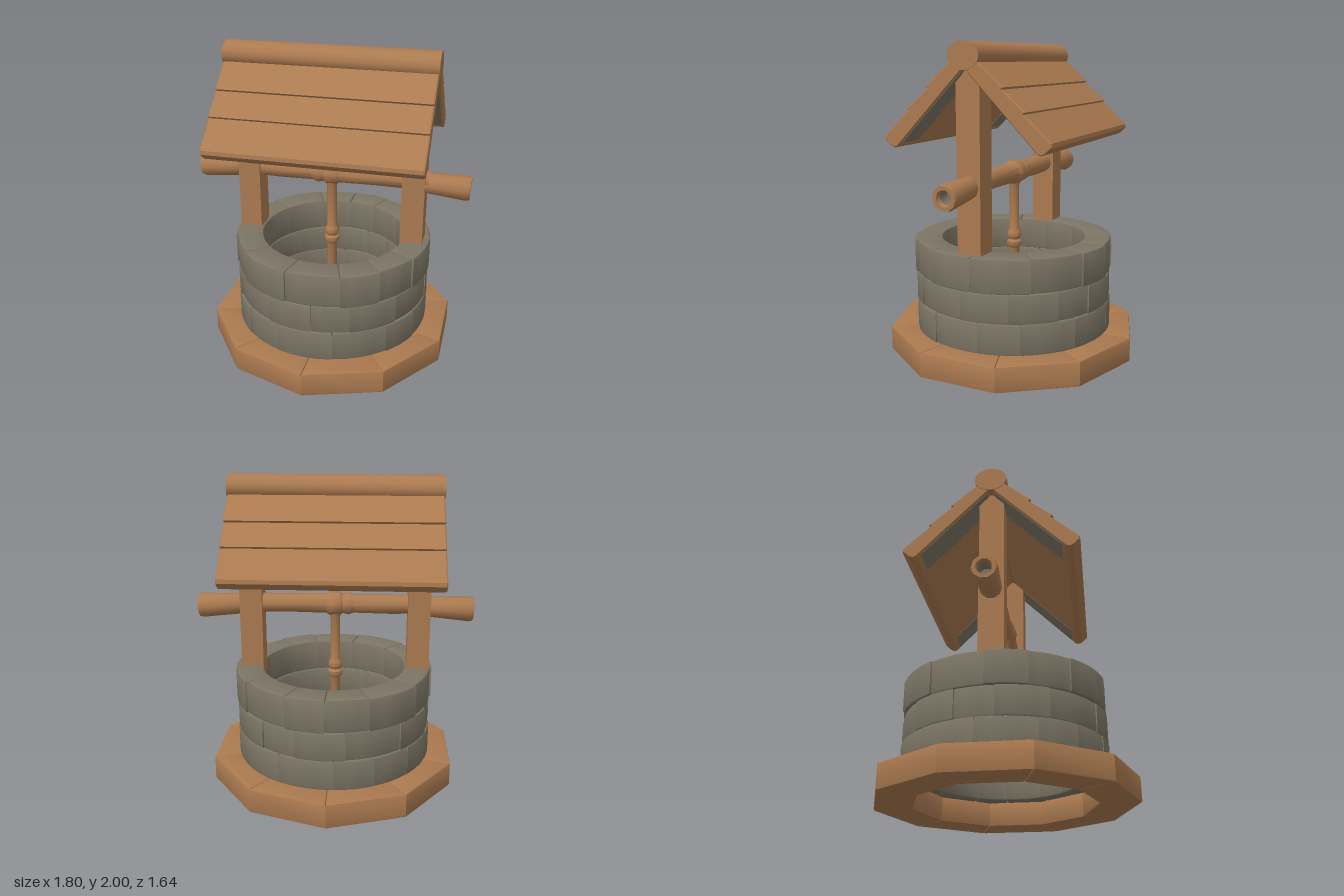
import * as THREE from 'three';
import { toCreasedNormals } from 'three/addons/utils/BufferGeometryUtils.js';

const wood = new THREE.MeshStandardMaterial({ color: 0xab7a50 });
wood.name = 'warm wood';
const stone = new THREE.MeshStandardMaterial({ color: 0x7c7565 });
stone.name = 'grey stone';

function add(parent, name, geometry, material) {
  const mesh = new THREE.Mesh(geometry, material);
  mesh.name = name;
  parent.add(mesh);
  return mesh;
}

// Bevelled block filling a sector of a ring, standing on height y
function ringBlock(rIn, rOut, a0, a1, y, height, segments, bevel) {
  const points = [];
  for (const [r, from, to] of [[rOut, a0, a1], [rIn, a1, a0]]) {
    for (let i = 0; i <= segments; i++) {
      const a = from + (to - from) * i / segments;
      points.push(new THREE.Vector2(r * Math.cos(a), r * Math.sin(a)));
    }
  }
  const geo = new THREE.ExtrudeGeometry(new THREE.Shape(points), {
    depth: height - 2 * bevel, bevelEnabled: true, bevelSegments: 2,
    bevelSize: bevel, bevelOffset: -bevel, bevelThickness: bevel,
  });
  geo.translate(0, 0, bevel).rotateX(-Math.PI / 2).translate(0, y, 0);
  return toCreasedNormals(geo, 0.7);
}

// Ten-sided wooden curb
function buildCurb() {
  const group = new THREE.Group();
  group.name = 'woodenCurb';
  const step = Math.PI / 5;
  for (let i = 0; i < 10; i++) {
    const a = Math.PI / 2 + i * step;
    add(group, 'curbBeam', ringBlock(0.57, 0.82, a, a + step, 0, 0.16, 1, 0.01), wood);
  }
  return group;
}

// Three staggered courses of stones
function buildWall() {
  const group = new THREE.Group();
  group.name = 'stoneWall';
  const courses = [[0.155, 0.2, 0.645, 0.1], [0.35, 0.19, 0.64, 0.34], [0.537, 0.217, 0.645, 0.11]];
  const count = 13;
  courses.forEach(([y, height, radius, offset], c) => {
    const edge = i => {
      const k = i % count;
      return offset + (i + 0.16 * Math.sin(k * 4.7 + c * 2.3)) * Math.PI * 2 / count;
    };
    for (let i = 0; i < count; i++) {
      const r = radius + 0.006 * Math.sin(i * 3.1 + c);
      add(group, 'wallStone', ringBlock(0.47, r, edge(i), edge(i + 1), y, height, 4, 0.014), stone);
    }
  });
  return group;
}

// Pitched roof with overlapping planks and a rounded ridge
function buildRoof() {
  const group = new THREE.Group();
  group.name = 'roof';
  const x0 = -0.685, x1 = 0.655;
  const profile = [
    [0, 1.85], [0.455, 1.385], [0.475, 1.377], [0.5, 1.385], [0.543, 1.425], [0.54, 1.45],
    [0.375, 1.6], [0.385, 1.612], [0.24, 1.733], [0.25, 1.745], [0.08, 1.89], [0, 1.95],
  ];
  for (const side of [1, -1]) {
    const shape = new THREE.Shape(profile.map(([z, y]) => new THREE.Vector2(-side * z, y)));
    const geo = new THREE.ExtrudeGeometry(shape, {
      depth: x1 - x0 - 0.016, bevelEnabled: true, bevelSegments: 1,
      bevelSize: 0.006, bevelOffset: -0.006, bevelThickness: 0.008,
    });
    geo.rotateY(Math.PI / 2).translate(x0 + 0.008, 0, 0);
    add(group, 'roofSlope', geo, wood);

    // Grey lining below the overhangs
    for (const [a, b] of [[x0 + 0.015, -0.49], [0.47, x1 - 0.015]]) {
      const lining = add(group, 'eaveLining', new THREE.BoxGeometry(b - a, 0.006, 0.58), stone);
      lining.position.set((a + b) / 2, 1.617, side * 0.228);
      lining.rotation.x = side * Math.atan2(0.465, 0.455);
    }
  }
  const ridge = new THREE.CylinderGeometry(1, 1, x1 - x0 + 0.01, 14);
  ridge.rotateZ(Math.PI / 2).scale(1, 0.082, 0.102);
  add(group, 'ridgeBeam', toCreasedNormals(ridge, 0.8), wood).position.set(-0.015, 1.918, 0);
  return group;
}

function lathe(points, sides) {
  const geo = new THREE.LatheGeometry(points.map(p => new THREE.Vector2(...p)), sides);
  return toCreasedNormals(geo, 0.7);
}

// Axle with a centre knot and hollow end grips
function buildAxle() {
  const group = new THREE.Group();
  group.name = 'axle';
  const bar = lathe([
    [0.058, -0.64], [0.064, -0.35], [0.06, -0.12], [0.072, -0.09], [0.064, -0.05],
    [0.078, -0.03], [0.078, 0.035], [0.064, 0.055], [0.06, 0.3], [0.064, 0.64],
  ], 10);
  add(group, 'axleBar', bar.rotateZ(-Math.PI / 2), wood).position.set(-0.01, 1.17, 0);

  for (const side of [1, -1]) {
    const grip = new THREE.Group();
    grip.name = side > 0 ? 'leftGrip' : 'rightGrip';
    add(grip, 'gripSleeve', lathe([
      [0, 0], [0.066, 0], [0.08, 0.26], [0.074, 0.285], [0.05, 0.285], [0.043, 0.255],
    ], 10), wood);
    add(grip, 'gripSocket', lathe([[0.043, 0.255], [0.04, 0.18], [0, 0.18]], 10), stone);
    grip.rotation.z = -side * (Math.PI / 2 + 0.05);
    grip.position.set(side * 0.61 - 0.008, 1.158, 0);
    group.add(grip);
  }
  return group;
}

export function createModel() {
  const model = new THREE.Group();
  model.name = 'wishingWell';
  model.add(buildCurb(), buildWall(), buildRoof(), buildAxle());

  // Posts
  for (const x of [-0.555, 0.535]) {
    add(model, 'post', new THREE.BoxGeometry(0.145, 1.19, 0.155), wood).position.set(x, 1.275, 0);
  }

  // Hanging pole with a knot
  add(model, 'hangingPole', lathe([
    [0, 0.18], [0.034, 0.18], [0.034, 0.66], [0.05, 0.68], [0.05, 0.705], [0.036, 0.72],
    [0.048, 0.74], [0.046, 0.765], [0.033, 0.79], [0.033, 1.08], [0.05, 1.13],
  ], 10), wood).position.x = -0.01;
  return model;
}
